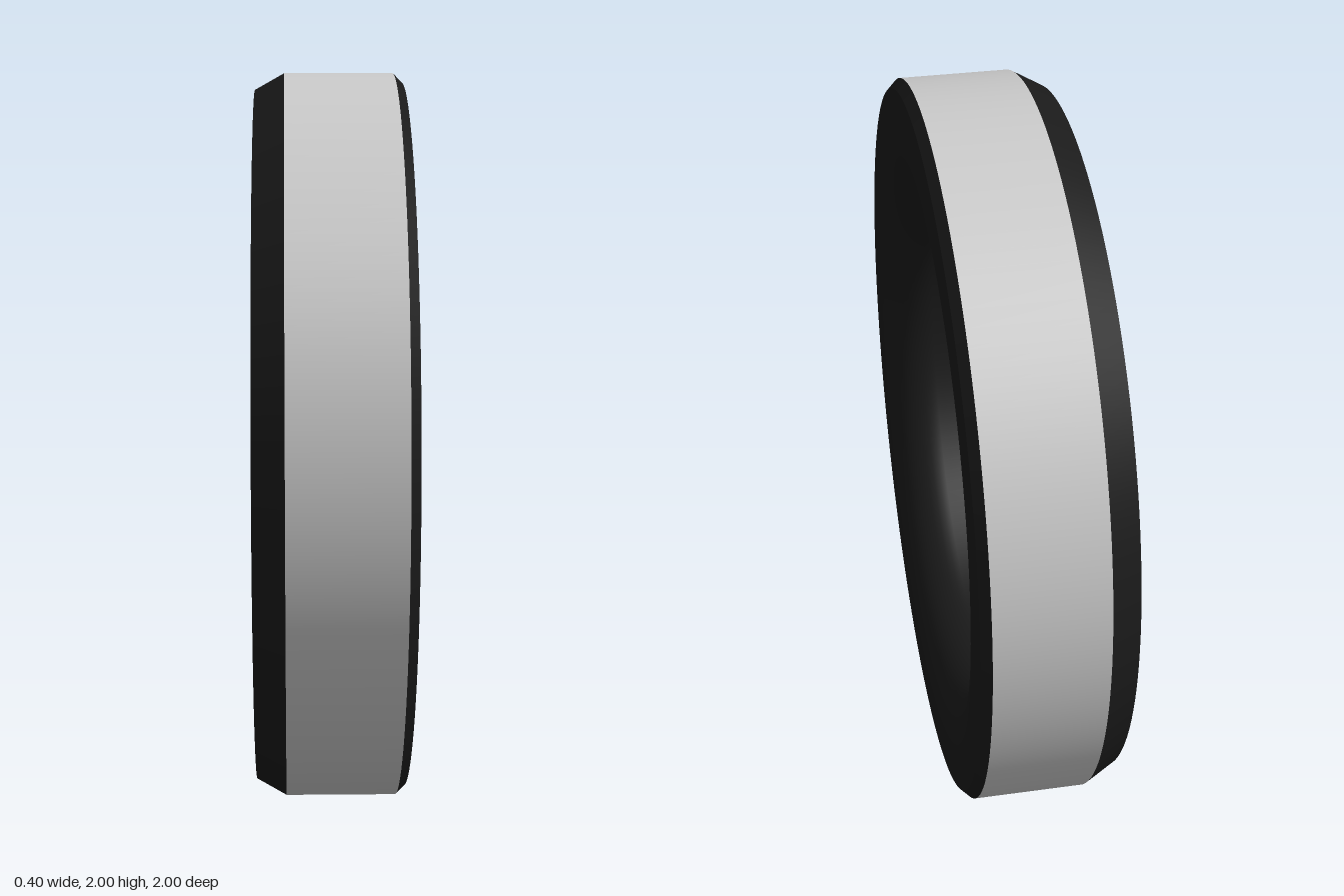
import * as THREE from 'three';

const SEGMENTS = 128;
const black = new THREE.MeshStandardMaterial({ color: 0x1a1a1a });
const grey = new THREE.MeshStandardMaterial({ color: 0xcccccc });

// Revolve [radius, x] pairs around the x axis; outer surfaces run towards +x
function ringSurface(name, profile, material) {
  const points = profile.map(([r, x]) => new THREE.Vector2(r, x));
  const geometry = new THREE.LatheGeometry(points, SEGMENTS);
  geometry.rotateZ(-Math.PI / 2);
  const mesh = new THREE.Mesh(geometry, material);
  mesh.name = name;
  return mesh;
}

// Quarter-round from the side face into the bore
function fillet(bore, face, radius, steps, side) {
  const arc = [];
  for (let i = 0; i <= steps; i++) {
    const t = (i / steps) * Math.PI / 2;
    arc.push([bore + radius - radius * Math.sin(t), face - side * radius + side * radius * Math.cos(t)]);
  }
  return arc;
}

export function createModel() {
  const group = new THREE.Group();
  group.name = 'ring';
  const body = new THREE.Group();
  body.name = 'ringBody';

  const bore = 0.7;
  const half = 0.2;

  // Bevels on either side of the tread: wide on -x, narrow on +x
  body.add(ringSurface('wideBevel', [[0.955, -half], [1, -0.12]], black));
  body.add(ringSurface('narrowBevel', [[1, 0.175], [0.975, half]], black));

  // Flat +x face, large rounded lip, bore, small rounded lip and flat -x face
  const inner = [
    [0.975, half],
    [0.86, half],
    ...fillet(bore, half, 0.14, 12, 1),
    ...fillet(bore, -half, 0.02, 4, -1).reverse(),
    [0.74, -half],
    [0.955, -half],
  ];
  body.add(ringSurface('facesAndBore', inner, black));
  group.add(body);

  // Smooth outer band
  group.add(ringSurface('outerBand', [[1, -0.12], [1, 0.175]], grey));

  group.position.y = 1;
  const model = new THREE.Group();
  model.name = 'bevelledRing';
  model.add(group);
  return model;
}
